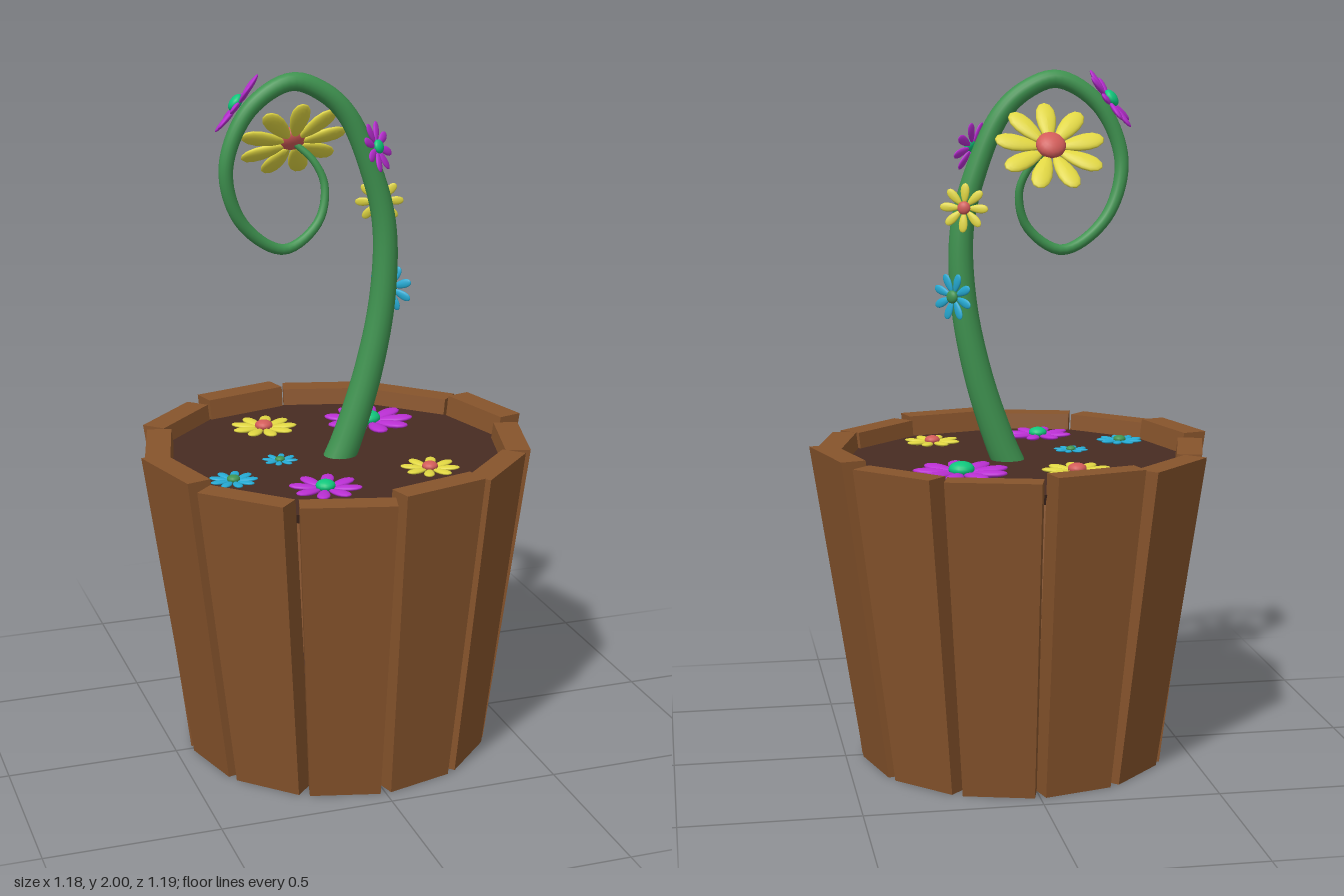
import * as THREE from 'three';

const mat = (name, color) => {
  const m = new THREE.MeshStandardMaterial({ color });
  m.name = name;
  return m;
};

export function createModel() {
  const wood = mat('wood brown', 0x87542c);
  const earth = mat('soil brown', 0x472c22);
  const green = mat('stem green', 0x3f9350);
  const yellow = mat('petal yellow', 0xe0d642);
  const magenta = mat('petal magenta', 0xb92fd2);
  const blue = mat('petal blue', 0x25a9d2);
  const coral = mat('centre coral', 0xd25c59);
  const mint = mat('centre mint', 0x10c67c);

  const model = new THREE.Group();
  model.name = 'pottedFlower';
  const add = (parent, geometry, material, name) => {
    const mesh = new THREE.Mesh(geometry, material);
    mesh.name = name;
    parent.add(mesh);
    return mesh;
  };

  // Planter: twelve flared planks, each leaning out by a slightly different amount
  const planter = new THREE.Group();
  planter.name = 'planter';
  model.add(planter);
  const lean = [0.584, 0.574, 0.58, 0.554, 0.543, 0.546, 0.577, 0.578, 0.57, 0.55, 0.574, 0.572];
  lean.forEach((topRadius, i) => {
    const g = new THREE.BoxGeometry(2, 2, 2);
    const p = g.attributes.position;
    const height = i % 3 === 2 ? 0.935 : 0.922;
    for (let k = 0; k < p.count; k++) {
      const top = p.getY(k) > 0;
      const outer = p.getZ(k) > 0;
      p.setXYZ(k, p.getX(k) * (top ? 0.131 : 0.101), top ? height : 0,
        (top ? topRadius : 0.438) - (outer ? 0 : 0.072));
    }
    g.computeVertexNormals();
    add(planter, g, wood, 'plank').rotation.y = THREE.MathUtils.degToRad(165 - 30 * i);
  });

  // Soil on top and the base board inside the foot
  const soilY = 0.875;
  add(planter, new THREE.CylinderGeometry(0.515, 0.5, 0.03, 12), earth, 'soil').position.y = soilY - 0.015;
  add(planter, new THREE.CylinderGeometry(0.39, 0.385, 0.02, 12), earth, 'baseBoard').position.y = 0.07;

  // Stem: a tapering tube that curls over and loops back to the main bloom
  const path = new THREE.CatmullRomCurve3([
    [0.005, 0.85, 0], [0.035, 0.92, 0], [0.1, 1.12, 0], [0.143, 1.34, 0], [0.147, 1.55, 0],
    [0.107, 1.71, 0], [0.035, 1.87, 0], [-0.04, 1.94, 0], [-0.13, 1.969, 0], [-0.25, 1.895, -0.005],
    [-0.315, 1.735, -0.01], [-0.265, 1.575, -0.03], [-0.135, 1.488, -0.05], [-0.03, 1.555, -0.065],
    [-0.003, 1.655, -0.085], [-0.03, 1.725, -0.1], [-0.085, 1.78, -0.125],
  ].map((a) => new THREE.Vector3(...a)));
  const rings = 120, sides = 16;
  const tube = new THREE.TubeGeometry(path, rings, 1, sides);
  const tp = tube.attributes.position;
  const v = new THREE.Vector3();
  for (let i = 0; i <= rings; i++) {
    const t = i / rings;
    const centre = path.getPointAt(t);
    const radius = THREE.MathUtils.lerp(0.046, 0.009, t);
    for (let j = 0; j <= sides; j++) {
      const k = i * (sides + 1) + j;
      v.fromBufferAttribute(tp, k).sub(centre).multiplyScalar(radius).add(centre);
      tp.setXYZ(k, v.x, v.y, v.z);
    }
  }
  add(model, tube, green, 'stem');

  // Petal of unit flower radius: flattened ellipsoid, narrower toward the centre
  const petal = new THREE.SphereGeometry(1, 14, 10);
  const pp = petal.attributes.position;
  for (let k = 0; k < pp.count; k++) {
    const x = pp.getX(k);
    pp.setXYZ(k, 0.58 + 0.42 * x, pp.getY(k) * 0.075 + 0.03 * x, pp.getZ(k) * (0.175 + 0.055 * x));
  }
  petal.computeVertexNormals();
  const heart = new THREE.SphereGeometry(0.27, 16, 12).scale(1, 0.6, 1);

  const up = new THREE.Vector3(0, 1, 0);
  const flower = (name, petals, middle, count, radius, position, normal = [0, 1, 0]) => {
    const f = new THREE.Group();
    f.name = name;
    for (let i = 0; i < count; i++) {
      add(f, petal, petals, 'petal').rotation.y = ((i + 0.5) / count) * Math.PI * 2 + Math.PI / 2;
    }
    add(f, heart, middle, 'flowerCentre').position.y = 0.06;
    f.scale.setScalar(radius);
    f.position.set(...position);
    f.quaternion.setFromUnitVectors(up, new THREE.Vector3(...normal).normalize());
    model.add(f);
  };

  // Blooms on the stem
  flower('mainBloom', yellow, coral, 9, 0.158, [-0.085, 1.782, -0.125], [0, 0.67, -0.74]);
  flower('upperBloom', magenta, mint, 8, 0.1, [-0.275, 1.912, -0.025], [-0.75, 0.6, -0.28]);
  flower('shoulderBloom', magenta, mint, 8, 0.075, [0.115, 1.78, 0.028], [0.65, 0.3, 0.65]);
  flower('middleBloom', yellow, coral, 8, 0.07, [0.147, 1.61, -0.042], [0.34, 0.1, -0.93]);
  flower('lowerBloom', blue, green, 8, 0.07, [0.178, 1.357, -0.03], [0.72, 0, -0.66]);

  // Blooms lying on the soil
  const ground = [
    [magenta, mint, 9, 0.137, 0.187, -0.24],
    [magenta, mint, 8, 0.103, -0.13, 0.3],
    [yellow, coral, 9, 0.1, -0.135, -0.275],
    [yellow, coral, 8, 0.085, 0.205, 0.235],
    [blue, green, 9, 0.07, -0.355, 0.16],
    [blue, green, 8, 0.052, -0.18, 0.035],
  ];
  for (const [petals, middle, count, radius, x, z] of ground) {
    flower('soilBloom', petals, middle, count, radius, [x, soilY + 0.015, z]);
  }
  return model;
}
